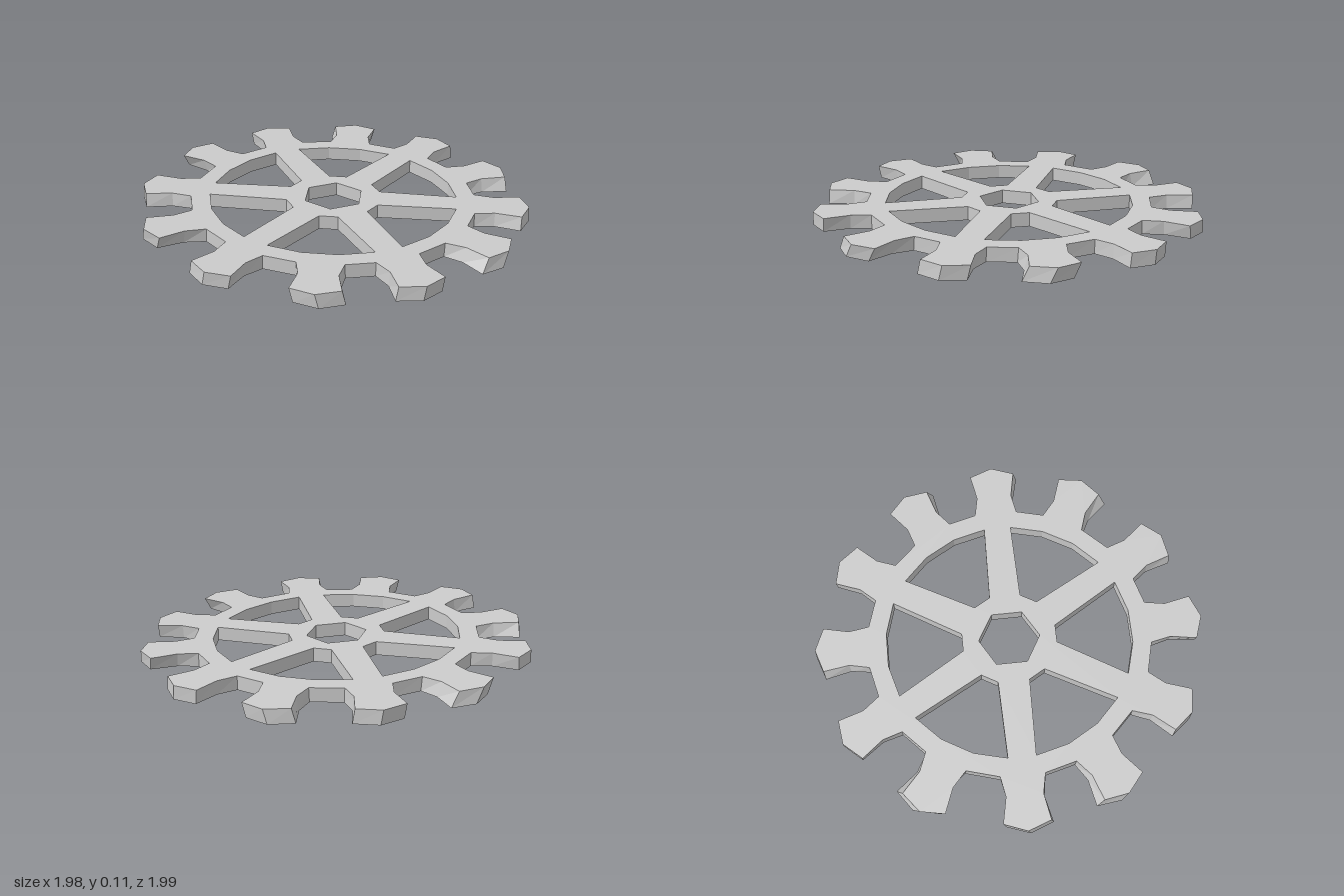
import * as THREE from 'three';

const THICK = 0.072;
const material = new THREE.MeshStandardMaterial({
  color: 0xcccccc, flatShading: true, side: THREE.DoubleSide,
});

// Direction of each tooth in degrees, and how far its lower edge leans round
const TEETH = [
  [-72.5, 0.7], [-42, -1.2], [-12.5, 0.5], [17, 2], [46, 1], [75, 2.6],
  [106, 0.8], [135, -1], [165.5, 1], [196, 2.2], [226.5, -0.8], [257.5, 2.6],
];
// Half profile of a tooth: angle from its middle, radius, share of the lean
const TOOTH = [
  [-8.8, 0.74, 0.2], [-6.4, 0.84, 0.6], [-7, 0.976, 1], [0, 1.013, 1],
  [7, 0.976, 1], [6.4, 0.84, 0.6], [8.8, 0.74, 0.2],
];
// Outline of the opening between two spokes: angle, radius
const WINDOW = [
  [-23.6, 0.643], [-8, 0.643], [8, 0.643], [23.6, 0.643], [11, 0.25], [-11, 0.25],
];

// The wheel sits on a slight slope
const topY = (x, z) => 0.095 - 0.0195 * x - 0.006 * z;

// A rim point: its flat position on the top and on the lower edge
function point(deg, r, lean = 0) {
  const at = (d) => {
    const a = THREE.MathUtils.degToRad(d);
    return [r * Math.cos(a), r * Math.sin(a)];
  };
  return { top: at(deg), low: at(deg + lean) };
}

// Vertical wall following a closed loop
function wall(name, loop) {
  const pos = [];
  loop.forEach((p, i) => {
    const q = loop[(i + 1) % loop.length];
    const up = (s) => [s.top[0], topY(...s.top), s.top[1]];
    const down = (s) => [s.low[0], topY(...s.low) - THICK, s.low[1]];
    pos.push(...up(p), ...up(q), ...down(q), ...up(p), ...down(q), ...down(p));
  });
  const geo = new THREE.BufferGeometry();
  geo.setAttribute('position', new THREE.Float32BufferAttribute(pos, 3));
  geo.computeVertexNormals();
  const mesh = new THREE.Mesh(geo, material);
  mesh.name = name;
  return mesh;
}

export function createModel() {
  const group = new THREE.Group();
  group.name = 'gearWheel';

  // Loops: toothed rim, six openings and the hexagonal axle hole
  const rim = TEETH.flatMap(([mid, lean]) =>
    TOOTH.map(([a, r, share]) => point(mid + a, r, lean * share)));
  const windows = [];
  const axle = [];
  for (let i = 0; i < 6; i++) {
    const mid = 16 + i * 60;
    windows.push(WINDOW.map(([a, r]) => point(mid + a, r)));
    axle.push(point(mid, 0.16));
  }

  // Top plate with rim, spokes and hub
  const flat = (loop) => loop.map((p) => new THREE.Vector2(p.top[0], -p.top[1]));
  const shape = new THREE.Shape(flat(rim));
  for (const loop of [...windows, axle]) shape.holes.push(new THREE.Path(flat(loop)));
  const plate = new THREE.ShapeGeometry(shape);
  plate.rotateX(-Math.PI / 2);
  const pos = plate.attributes.position;
  for (let i = 0; i < pos.count; i++) pos.setY(i, topY(pos.getX(i), pos.getZ(i)));
  plate.computeVertexNormals();
  const top = new THREE.Mesh(plate, material);
  top.name = 'topPlate';

  // Walls around every edge; the underside stays open
  group.add(top, wall('toothWall', rim), wall('axleHoleWall', axle.reverse()));
  windows.forEach((loop, i) => group.add(wall(`spokeWall${i + 1}`, loop.reverse())));

  // Rest on the ground, centred
  const box = new THREE.Box3().setFromObject(group);
  const mid = box.getCenter(new THREE.Vector3());
  group.position.set(-mid.x, -box.min.y, -mid.z);
  return group;
}
